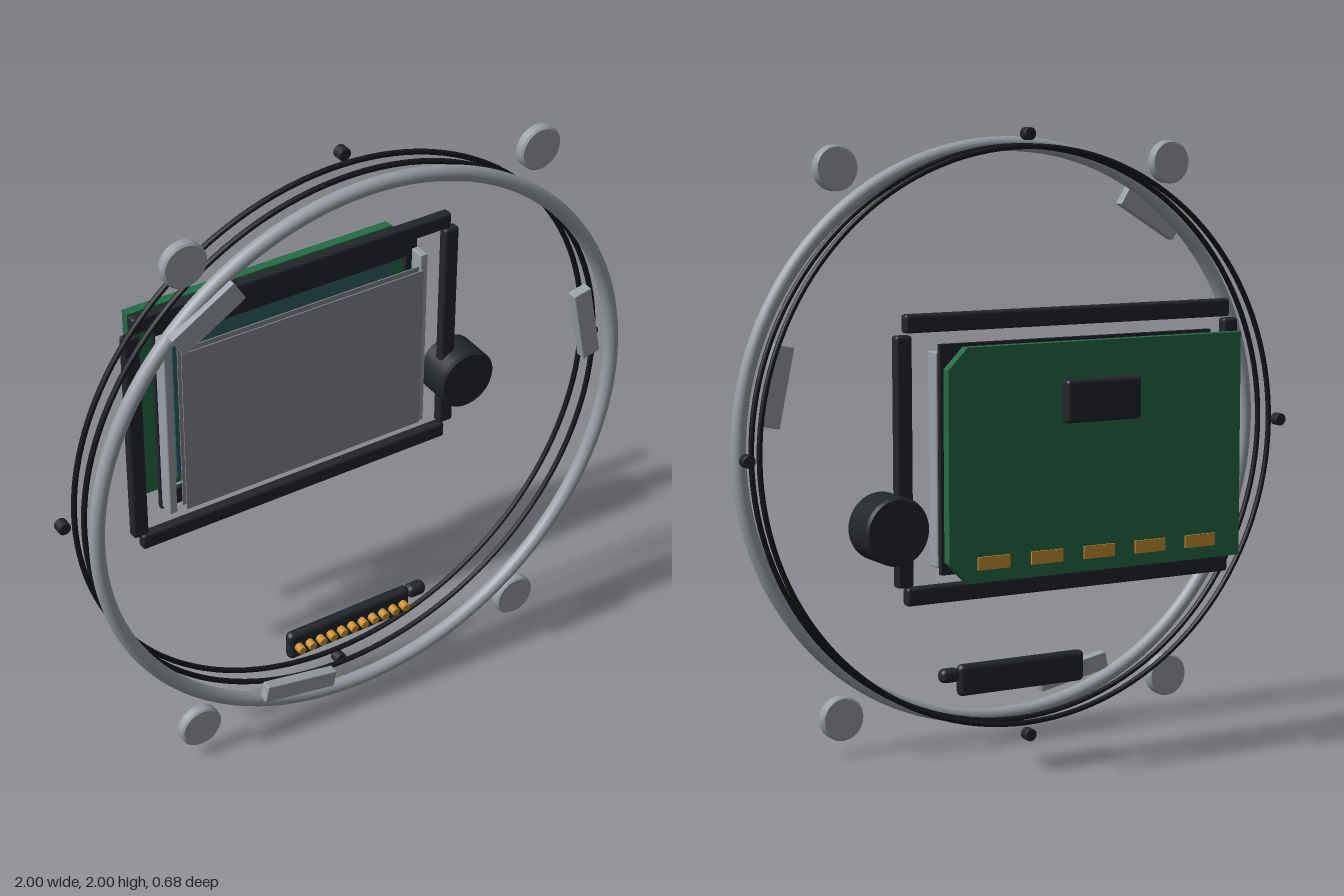
import * as THREE from 'three';
import { RoundedBoxGeometry } from 'three/addons/geometries/RoundedBoxGeometry.js';

const mat = (color) => new THREE.MeshStandardMaterial({ color });

export function createModel() {
  const model = new THREE.Group();
  const metal = mat(0x9a9fa8), black = mat(0x22252a), rubber = mat(0x15171b);
  const green = mat(0x256b47), gold = mat(0xc8902f), teal = mat(0x2f5f62), glass = mat(0x85898e);

  const add = (name, geometry, material, x, y, z, turn = 0) => {
    const mesh = new THREE.Mesh(geometry, material);
    mesh.name = name;
    mesh.position.set(x, y, z);
    mesh.rotation.z = turn;
    model.add(mesh);
    return mesh;
  };
  const box = (w, h, d) => new THREE.BoxGeometry(w, h, d);
  const rounded = (w, h, d, r) => new RoundedBoxGeometry(w, h, d, 3, r);

  // Disc along z with a small bevelled rim
  const disc = (r, depth, bevel, segments = 40) => {
    const h = depth / 2;
    const corners = [[0, -h], [r - bevel, -h], [r, -h + bevel], [r, h - bevel], [r - bevel, h], [0, h]];
    const points = [];
    // doubled corners keep the edges sharp
    corners.forEach(([a, b], i) => {
      points.push(new THREE.Vector2(a, b));
      if (i > 0 && i < corners.length - 1) points.push(new THREE.Vector2(a, b));
    });
    return new THREE.LatheGeometry(points, segments).rotateX(Math.PI / 2);
  };

  // Housing ring and two thin sealing rings
  add('housingRing', new THREE.TorusGeometry(0.943, 0.024, 16, 128), metal, 0, 1, 0.295);
  add('frontSeal', new THREE.TorusGeometry(0.938, 0.009, 10, 128), rubber, 0, 1, 0.205);
  add('rearSeal', new THREE.TorusGeometry(0.938, 0.009, 10, 128), rubber, 0, 1, 0.141);

  // Four small studs around the rear seal
  for (let i = 0; i < 4; i++) {
    const a = (i * Math.PI) / 2;
    add('sealStud', disc(0.021, 0.035, 0.002, 16), black, 0.978 * Math.cos(a), 1 + 0.978 * Math.sin(a), 0.141);
  }

  // Round magnets at the corners
  for (const sx of [-1, 1]) for (const sy of [-1, 1]) {
    add('magnet', disc(0.072, 0.038, 0.006), metal, sx * 0.613, 1 + sy * 0.876, 0.275);
  }

  // Slanted plates on the ring
  [
    [-0.568, 1.707, 0.242, 0.077, 0.55],
    [0.803, 1.2, 0.065, 0.262, 0.21],
    [-0.267, 0.167, 0.265, 0.06, -0.2],
  ].forEach(([x, y, w, h, turn]) => add('ringPlate', rounded(w, h, 0.036, 0.004), metal, x, y, 0.32, turn));

  // Pin connector with its end plug
  add('connectorBody', rounded(0.47, 0.105, 0.038, 0.018), black, 0, 0.218, 0.195);
  add('connectorPlug', rounded(0.068, 0.046, 0.046, 0.018), black, 0.267, 0.24, 0.193);
  for (let i = -5; i <= 5; i++) {
    add('connectorPin', disc(0.015, 0.034, 0.002, 16), gold, i * 0.0405, 0.218, 0.225);
  }

  // Frame of four separate bars
  for (const s of [-1, 1]) {
    add('frameRail', rounded(1.165, 0.057, 0.037, 0.01), black, 0, 1.005 + s * 0.417, -0.13);
    add('framePost', rounded(0.055, 0.77, 0.037, 0.01), black, s * 0.587, 1.003, -0.13);
    add('sideStrip', rounded(0.028, 0.662, 0.055, 0.005), metal, s * 0.473, 1.003, -0.13);
  }

  // Display stack, front to back
  add('frontGlass', box(0.89, 0.6, 0.004), glass, 0, 1.003, -0.067);
  add('rearGlass', box(0.89, 0.6, 0.004), glass, 0, 1.003, -0.093);

  const bezelShape = new THREE.Shape();
  bezelShape.moveTo(-0.485, -0.353).lineTo(0.485, -0.353).lineTo(0.485, 0.353).lineTo(-0.485, 0.353).closePath();
  const opening = new THREE.Path();
  opening.moveTo(-0.445, -0.295).lineTo(-0.445, 0.295).lineTo(0.445, 0.295).lineTo(0.445, -0.295).closePath();
  bezelShape.holes.push(opening);
  add('bezel', new THREE.ExtrudeGeometry(bezelShape, { depth: 0.018, bevelEnabled: false }), black, 0, 1.007, -0.183);

  add('displayPanel', box(0.81, 0.56, 0.014), teal, 0, 1.003, -0.205);
  add('backlight', box(0.78, 0.524, 0.014), teal, 0, 1.003, -0.231);
  add('flexConnector', box(0.4, 0.047, 0.02), gold, 0, 0.705, -0.245);

  // Circuit board, corners cut on its left side
  const board = new THREE.Shape();
  const cut = 0.065;
  board.moveTo(-0.52, -0.357).lineTo(0.52 - cut, -0.357).lineTo(0.52, -0.357 + cut)
    .lineTo(0.52, 0.357 - cut).lineTo(0.52 - cut, 0.357).lineTo(-0.52, 0.357).closePath();
  add('circuitBoard', new THREE.ExtrudeGeometry(board, { depth: 0.033, bevelEnabled: false }), green, 0, 1.003, -0.303);
  add('chip', rounded(0.265, 0.133, 0.045, 0.012), black, 0, 1.18, -0.318);
  for (let i = -2; i <= 2; i++) add('solderPad', box(0.11, 0.04, 0.01), gold, i * 0.185, 0.705, -0.304);

  // Control knob
  add('knob', disc(0.106, 0.136, 0.008, 48), black, 0.635, 0.803, -0.128);

  return model;
}
